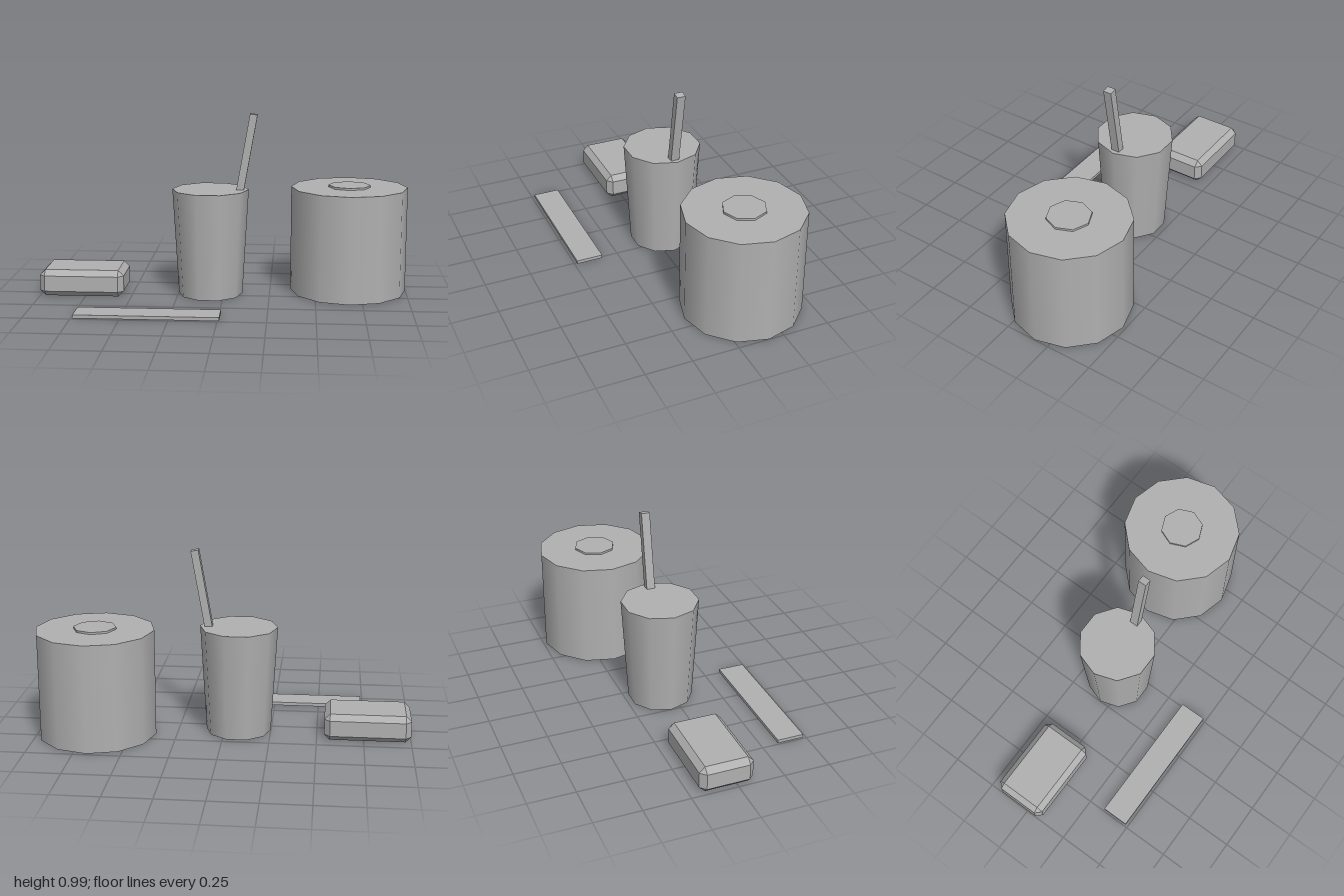
import * as THREE from 'three';
import { ConvexGeometry } from 'three/addons/geometries/ConvexGeometry.js';

const grey = new THREE.MeshStandardMaterial({ color: 0xb0b0b0 });
grey.name = 'plain grey';

// Box with every edge and corner cut off at 45 degrees
function chamferedBox(w, h, d, c) {
  const points = [];
  const [x, y, z] = [w / 2, h / 2, d / 2];
  for (const sx of [-1, 1]) for (const sy of [-1, 1]) for (const sz of [-1, 1]) {
    points.push(
      new THREE.Vector3(sx * x, sy * (y - c), sz * (z - c)),
      new THREE.Vector3(sx * (x - c), sy * y, sz * (z - c)),
      new THREE.Vector3(sx * (x - c), sy * (y - c), sz * z)
    );
  }
  return new ConvexGeometry(points);
}

export function createModel() {
  const model = new THREE.Group();
  model.name = 'tabletopSet';

  const add = (name, geometry, x, y, z) => {
    const mesh = new THREE.Mesh(geometry, grey);
    mesh.name = name;
    mesh.position.set(x, y, z);
    model.add(mesh);
    return mesh;
  };

  // Large drum with a thin raised disc on its lid
  add('drum', new THREE.CylinderGeometry(0.318, 0.318, 0.581, 12), 0.681, 0.2905, -0.168);
  add('lidDisc', new THREE.CylinderGeometry(0.115, 0.115, 0.012, 8), 0.681, 0.586, -0.168);

  // Tapered cup, a corner of its rim pointing along x
  const cup = add('cup', new THREE.CylinderGeometry(0.208, 0.175, 0.581, 10), -0.074, 0.2905, -0.053);
  cup.rotation.y = Math.PI / 2;

  // Square stick leaning out of the cup
  const length = 0.43;
  const stick = new THREE.BoxGeometry(0.041, length, 0.046).translate(0, -length / 2, 0);
  add('stick', stick, 0.16, 0.991, -0.05).rotation.z = -THREE.MathUtils.degToRad(10);

  // Bevelled bar and flat strip lying on the ground
  add('bar', chamferedBox(0.46, 0.145, 0.288, 0.03), -0.77, 0.0725, -0.055);
  add('strip', new THREE.BoxGeometry(0.75, 0.018, 0.145), -0.365, 0.009, 0.413);

  return model;
}
